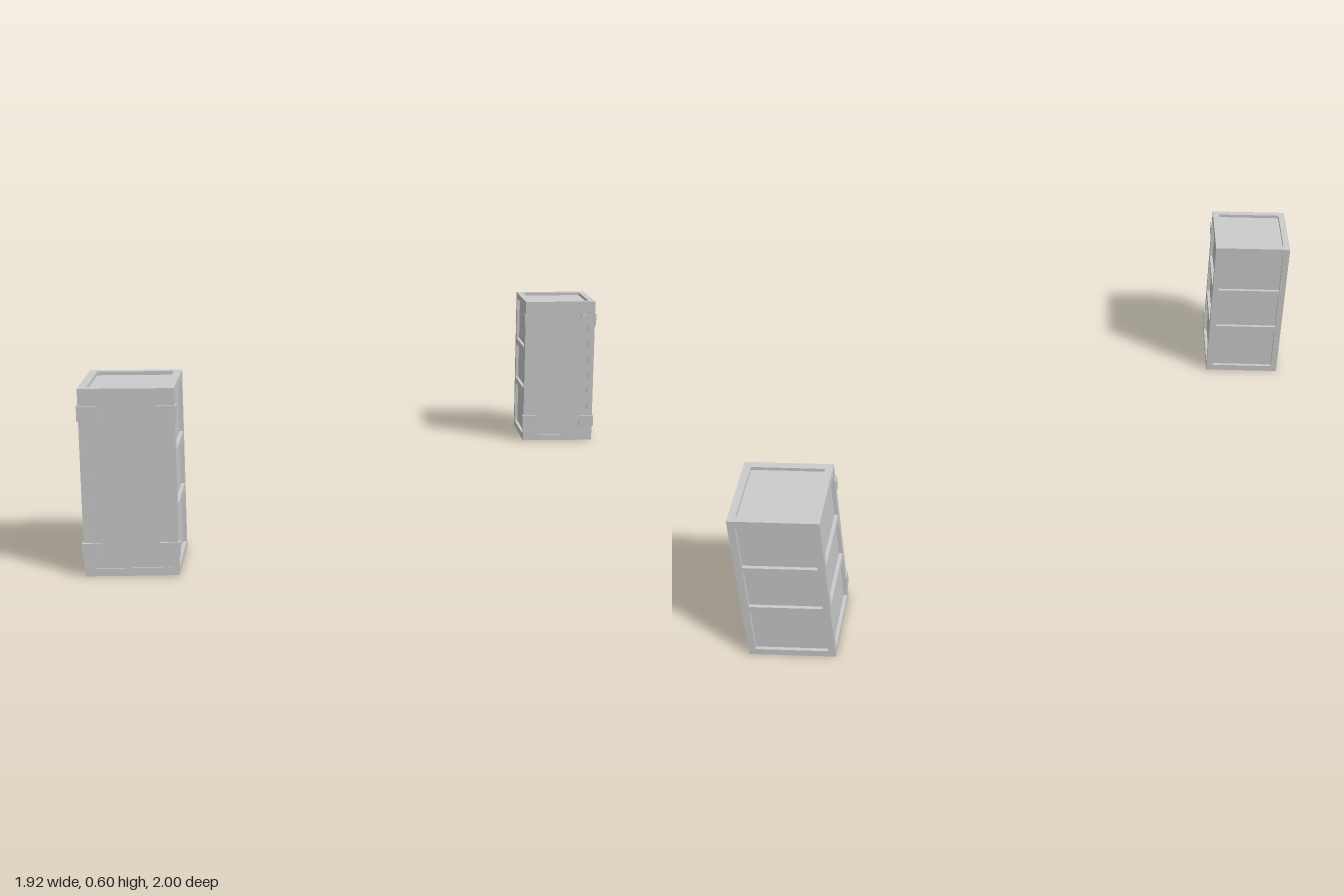
import * as THREE from 'three';

const W = 0.295, H = 0.6, D = 0.293; // cabinet size
const B = 0.025;                     // frame beam thickness
const R = 0.012;                     // panel recess
const material = new THREE.MeshStandardMaterial({ color: 0xcccccc });

function box(parent, name, w, h, d, x, y, z) {
  const mesh = new THREE.Mesh(new THREE.BoxGeometry(w, h, d), material);
  mesh.name = name;
  mesh.position.set(x, y, z);
  parent.add(mesh);
}

// One cabinet, standing on y = 0, centred on x and z
function createCabinet(name) {
  const g = new THREE.Group();
  g.name = name;
  const px = W / 2 - B / 2, pz = D / 2 - B / 2;
  const innerW = W - 2 * B, innerD = D - 2 * B;

  // Recessed panels, and the door that sits almost level with the frame
  box(g, 'panels', W - 2 * R, H - 2 * R, D - 2 * R, 0, H / 2, 0);
  box(g, 'door', innerW, H - 2 * B, 0.012, 0, H / 2, D / 2 - 0.01);

  // Frame: posts with rails between them
  for (const sx of [-1, 1]) {
    for (const sz of [-1, 1]) box(g, 'cornerPost', B, H, B, sx * px, H / 2, sz * pz);
  }
  for (const y of [B / 2, H - B / 2]) {
    for (const s of [-1, 1]) {
      box(g, 'crossRail', innerW, B, B, 0, y, s * pz);
      box(g, 'sideRail', B, B, innerD, s * px, y, 0);
    }
  }

  // Horizontal bands across the sides and the back
  for (const y of [0.212, 0.388]) {
    for (const s of [-1, 1]) box(g, 'sideBand', B, B, innerD, s * px, y, 0);
    box(g, 'backBand', innerW, B, B, 0, y, -pz);
  }

  // Corner brackets wrapping the front edges
  for (const y of [0.085, 0.523]) {
    for (const s of [-1, 1]) {
      box(g, 'bracketPlate', 0.062, 0.048, 0.007, s * (W / 2 + 0.004 - 0.031), y, D / 2 + 0.0035);
      box(g, 'bracketSide', 0.004, 0.048, 0.022, s * (W / 2 + 0.002), y, D / 2 - 0.011);
    }
  }
  return g;
}

export function createModel() {
  const model = new THREE.Group();
  model.name = 'cabinets';
  const front = createCabinet('frontCabinet');
  front.position.set(-0.808, 0, 0.993 - D / 2);
  const rear = createCabinet('rearCabinet');
  rear.position.set(0.808, 0, -1 + D / 2);
  model.add(front, rear);
  return model;
}
